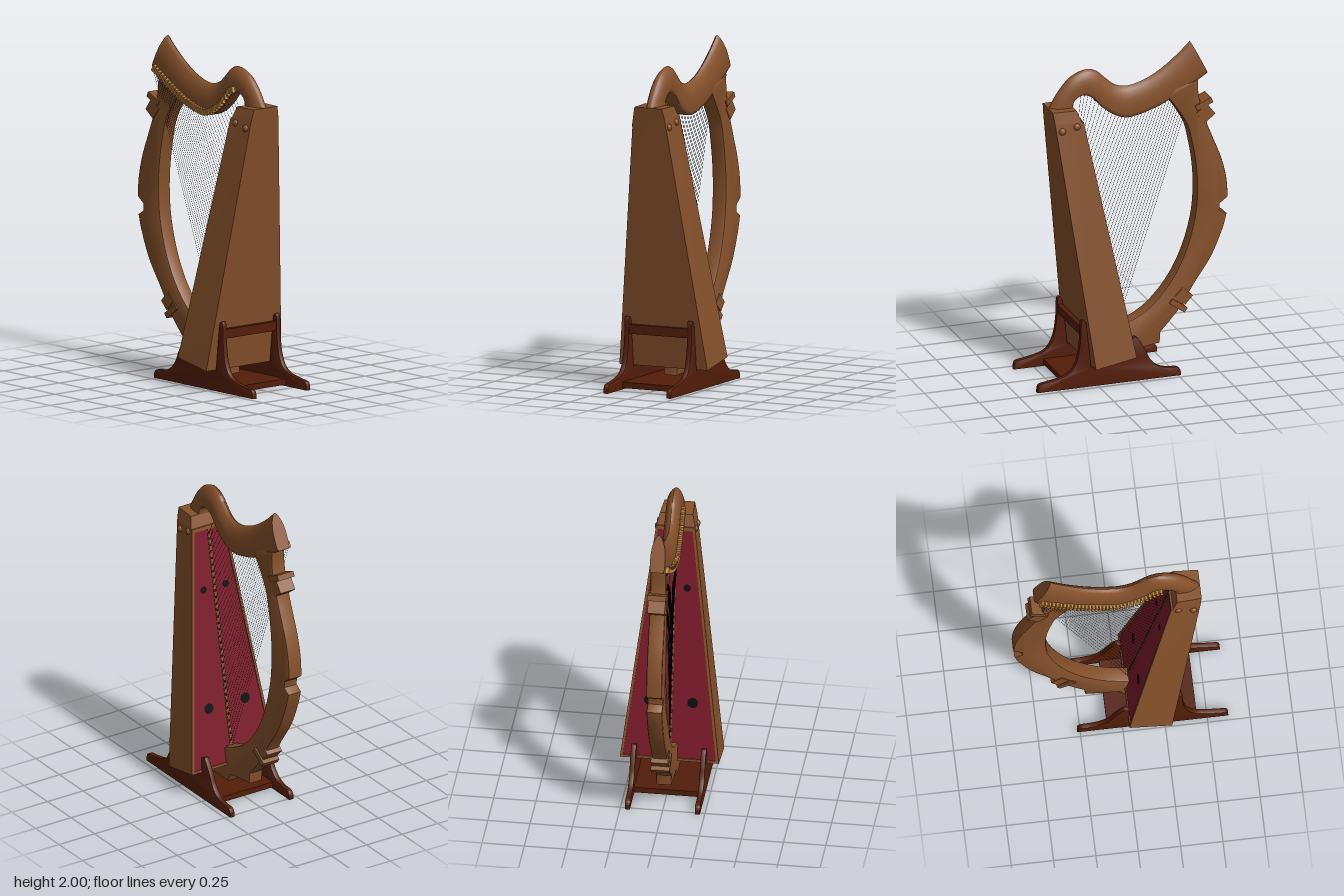
import * as THREE from 'three';
import { toCreasedNormals } from 'three/addons/utils/BufferGeometryUtils.js';

const V3 = (x, y, z) => new THREE.Vector3(x, y, z);
const V2 = ([x, y]) => new THREE.Vector2(x, y);
const lerp = THREE.MathUtils.lerp;

function material(name, color) {
  const m = new THREE.MeshStandardMaterial({ color });
  m.name = name;
  return m;
}

// Skin a list of equal-length rings and close both ends
function loft(rings, crease = 0.6) {
  const n = rings[0].length, tris = [];
  for (let i = 0; i < rings.length - 1; i++) {
    for (let j = 0; j < n; j++) {
      const k = (j + 1) % n, a = rings[i], b = rings[i + 1];
      tris.push([a[j], a[k], b[k]], [a[j], b[k], b[j]]);
    }
  }
  const cap = (ring, flip) => {
    const c = ring.reduce((s, p) => s.add(p), V3(0, 0, 0)).divideScalar(n);
    ring.forEach((p, j) => {
      const q = ring[(j + 1) % n];
      tris.push(flip ? [c, q, p] : [c, p, q]);
    });
  };
  cap(rings[0], true);
  cap(rings[rings.length - 1], false);
  // Turn the faces outward whatever the ring direction
  const mid = rings.flat().reduce((s, p) => s.add(p), V3(0, 0, 0)).divideScalar(n * rings.length);
  let volume = 0;
  for (const [a, b, c] of tris) {
    volume += a.clone().sub(mid).dot(b.clone().sub(mid).cross(c.clone().sub(mid)));
  }
  const points = tris.flatMap(([a, b, c]) => (volume < 0 ? [a, c, b] : [a, b, c]));
  return toCreasedNormals(new THREE.BufferGeometry().setFromPoints(points), crease);
}

// Extrude an outline, centred on z = 0
function plate(shape, thickness, bevel) {
  const geo = new THREE.ExtrudeGeometry(shape, {
    depth: thickness - 2 * bevel, bevelEnabled: true, bevelThickness: bevel,
    bevelSize: bevel, bevelOffset: -bevel, bevelSegments: 2, curveSegments: 24,
  });
  geo.translate(0, 0, bevel - thickness / 2);
  return toCreasedNormals(geo, 0.6);
}

export function createModel() {
  const harp = new THREE.Group();
  harp.name = 'harp';
  const wood = material('wood', 0x86512b);
  const darkWood = material('dark wood', 0x531d09);
  const crimson = material('crimson', 0x7c1a29);
  const brass = material('brass', 0xcb8b45);
  const black = material('black', 0x0c0c0c);

  const add = (name, geo, mat, pos = [0, 0, 0], rotZ = 0) => {
    const mesh = new THREE.Mesh(geo, mat);
    mesh.name = name;
    mesh.position.set(...pos);
    mesh.rotation.z = rotZ;
    harp.add(mesh);
    return mesh;
  };

  // Neck: a bullet-shaped section swept between a lower and an upper curve
  const lower = new THREE.CatmullRomCurve3([
    [-0.5, 1.8], [-0.42, 1.75], [-0.3, 1.68], [-0.17, 1.62], [0, 1.583], [0.08, 1.61],
    [0.16, 1.67], [0.22, 1.735], [0.27, 1.755], [0.31, 1.742], [0.333, 1.715], [0.337, 1.68],
  ].map(([x, y]) => V3(x, y, 0)));
  const upper = new THREE.CatmullRomCurve3([
    [-0.4, 2], [-0.325, 1.93], [-0.22, 1.85], [-0.11, 1.793], [0, 1.77], [0.07, 1.79],
    [0.13, 1.84], [0.185, 1.889], [0.245, 1.905], [0.34, 1.87], [0.42, 1.785], [0.48, 1.685],
  ].map(([x, y]) => V3(x, y, 0)));
  const half = [[0, 0.032], [0.04, 0.041], [0.14, 0.044], [0.42, 0.044], [0.62, 0.04],
    [0.78, 0.031], [0.9, 0.02], [0.97, 0.01]];
  const section = [...half, [1, 0], ...half.map(([h, w]) => [h, -w]).reverse()];
  const neckRings = [];
  for (let i = 0; i <= 66; i++) {
    const b = lower.getPoint(i / 66), t = upper.getPoint(i / 66);
    neckRings.push(section.map(([h, w]) => b.clone().lerp(t, h).setZ(w)));
  }
  add('neck', loft(neckRings, 0.8), wood);

  // Curved pillar with a notch on its outer edge and a foot under the soundbox
  const pillar = new THREE.Shape();
  pillar.moveTo(-0.44, 1.77);
  pillar.splineThru([[-0.445, 1.66], [-0.49, 1.5], [-0.53, 1.395], [-0.583, 1.26], [-0.615, 1.13], [-0.624, 1.01]].map(V2));
  for (const p of [[-0.575, 0.975], [-0.572, 0.935], [-0.617, 0.905]]) pillar.lineTo(...p);
  pillar.splineThru([[-0.59, 0.81], [-0.52, 0.65], [-0.413, 0.49], [-0.34, 0.37], [-0.27, 0.285], [-0.205, 0.215]].map(V2));
  for (const p of [[-0.2, 0.147], [0.0, 0.12], [0.03, 0.066], [0.2, 0.066], [0.2, 0.25], [0.06, 0.28]]) pillar.lineTo(...p);
  pillar.splineThru([[-0.07, 0.335], [-0.175, 0.415], [-0.28, 0.545], [-0.36, 0.705], [-0.413, 0.89],
    [-0.43, 1.05], [-0.425, 1.21], [-0.4, 1.37], [-0.36, 1.51], [-0.25, 1.68]].map(V2));
  pillar.lineTo(-0.3, 1.73);
  add('pillar', plate(pillar, 0.094, 0.012), wood);

  // Carved collars on the pillar: a thin fin with a block beside it
  const box = (w, h, d) => new THREE.BoxGeometry(w, h, d);
  add('upperCollarFin', box(0.108, 0.034, 0.112), wood, [-0.472, 1.614, 0], -0.42);
  add('upperCollarBlock', box(0.085, 0.085, 0.102), wood, [-0.483, 1.552, 0], -0.65);
  add('lowerCollarFin', box(0.115, 0.034, 0.112), wood, [-0.311, 0.37, 0], 0.62);
  add('lowerCollarBlock', box(0.085, 0.07, 0.102), wood, [-0.347, 0.425, 0], 0.75);

  // Soundbox: tapering body with a chamfered top
  const bodyRing = (xl, yl, zl, xr, yr, zr) =>
    [V3(xl, yl, zl), V3(xr, yr, zr), V3(xr, yr, -zr), V3(xl, yl, -zl)];
  add('soundbox', loft([
    bodyRing(0.043, 0.17, 0.293, 0.285, 0.125, 0.29),
    bodyRing(0.311, 1.62, 0.115, 0.474, 1.62, 0.105),
    bodyRing(0.338, 1.69, 0.098, 0.483, 1.69, 0.09),
  ], 0.1), wood);

  // Sloping front of the soundbox: s runs up it, off stands out from it
  const normal = V3(-0.9833, 0.1817, 0);
  const onFace = (s, z, off = 0) =>
    V3(lerp(0.043, 0.311, s), lerp(0.17, 1.62, s), z).addScaledVector(normal, off);
  const edge = s => lerp(0.293, 0.115, s);
  const faceBar = (name, mat, s0, s1, zA, zB, h) => add(name, loft([s0, s1].map(s => [
    onFace(s, zA(s)), onFace(s, zA(s), h), onFace(s, zB(s), h), onFace(s, zB(s))])), mat);
  faceBar('soundboard', crimson, 0.01, 0.99, s => edge(s) - 0.014, s => 0.014 - edge(s), 0.004);
  faceBar('stringRib', wood, 0.01, 0.99, () => 0.009, () => -0.009, 0.008);
  faceBar('lowerRim', wood, 0, 0.01, edge, s => -edge(s), 0.011);
  faceBar('upperRim', wood, 0.985, 1, edge, s => -edge(s), 0.011);
  for (const side of [1, -1]) {
    faceBar('sideRim', wood, 0, 1, s => side * edge(s), s => side * (edge(s) - 0.016), 0.011);
    // Sound holes
    for (const [s, z, r] of [[0.25, 0.128, 0.032], [0.74, 0.078, 0.022]]) {
      const hole = add('soundHole', new THREE.CircleGeometry(r, 20), black);
      hole.position.copy(onFace(s, side * z, 0.006));
      hole.quaternion.setFromUnitVectors(V3(0, 0, 1), normal);
    }
    // Round bolt heads near the top
    for (const [x, y] of [[0.342, 1.595], [0.432, 1.575]]) {
      const bolt = add('bolt', new THREE.SphereGeometry(0.021, 16, 10), wood, [x, y, side * 0.113]);
      bolt.scale.z = 0.75;
    }
  }

  // Brass bed along the neck's lower edge
  const bedRings = [];
  for (let i = 0; i <= 50; i++) {
    const t = lerp(0.018, 0.72, i / 50), b = lower.getPoint(t);
    const across = upper.getPoint(t).sub(b).normalize();
    bedRings.push([[0.003, 0.04], [0.003, 0.0475], [0.039, 0.0475], [0.039, 0.04]]
      .map(([d, z]) => b.clone().addScaledVector(across, d).setZ(z)));
  }
  add('pegBed', loft(bedRings), brass);

  // Tuning pegs evenly spaced in x, each with its string down to the rib
  const count = 34, up = V3(0, 1, 0);
  const paramAtX = x => {
    let lo = 0, hi = 0.8;
    for (let i = 0; i < 24; i++) {
      const m = (lo + hi) / 2;
      if (lower.getPoint(m).x < x) lo = m; else hi = m;
    }
    return lo;
  };
  for (let i = 0; i < count; i++) {
    const f = i / (count - 1);
    const t = paramAtX(lerp(-0.468, 0.255, f));
    const b = lower.getPoint(t), across = upper.getPoint(t).sub(b).normalize();
    const peg = b.clone().addScaledVector(across, 0.021);
    add('tuningPeg', box(0.015, 0.038, 0.026), brass, [peg.x, peg.y, 0.055],
      Math.atan2(-across.x, across.y));
    const top = b.clone().setZ(0.052), foot = onFace(lerp(0.07, 0.97, f), 0, 0.008);
    const dir = top.clone().sub(foot);
    const string = add('string', new THREE.CylinderGeometry(0.001, 0.001, dir.length(), 4), black);
    string.position.copy(top).add(foot).multiplyScalar(0.5);
    string.quaternion.setFromUnitVectors(up, dir.normalize());
    add('stringEyelet', new THREE.SphereGeometry(0.007, 6, 4), black, foot.toArray());
  }

  // Stand: two curved side plates cradling the box, a base board and a rail
  const side = new THREE.Shape();
  side.moveTo(-0.267, 0);
  side.splineThru([[-0.263, 0.035], [-0.24, 0.053], [-0.19, 0.057], [-0.13, 0.075], [-0.08, 0.12],
    [-0.045, 0.19], [-0.01, 0.25], [0.015, 0.275], [0.04, 0.265]].map(V2));
  for (const p of [[0.04, 0.166], [0.292, 0.12]]) side.lineTo(...p);
  side.lineTo(0.322, 0.395);
  side.splineThru([[0.338, 0.42], [0.354, 0.4], [0.358, 0.3], [0.372, 0.2], [0.402, 0.125],
    [0.45, 0.085], [0.53, 0.064], [0.604, 0.052], [0.621, 0.035], [0.625, 0]].map(V2));
  const sideGeo = plate(side, 0.03, 0.002);
  for (const z of [0.207, -0.207]) add('standSide', sideGeo, darkWood, [0, 0, z]);
  add('standBoard', box(0.53, 0.035, 0.39), darkWood, [0.175, 0.027, 0]);
  add('standRail', box(0.028, 0.055, 0.39), darkWood, [0.338, 0.347, 0]);

  return harp;
}
